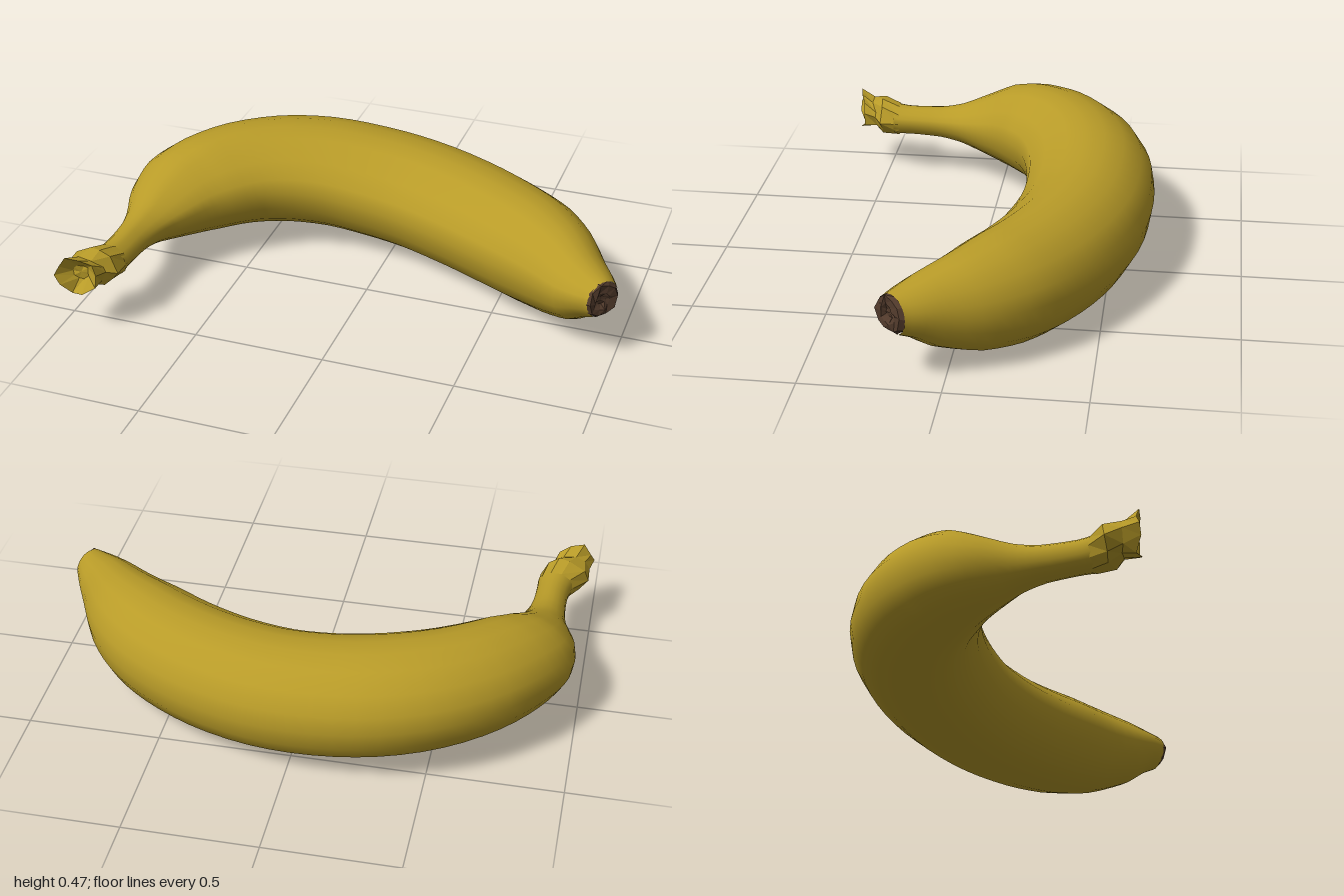
import * as THREE from 'three';

// Seeded random for the ragged ends
function seeded(s) {
  return () => {
    s = (s * 16807) % 2147483647;
    return s / 2147483647 - 0.5;
  };
}

// Cross-section: u runs from the outer (-1) to the inner (+1) side of the bend, v is up
const SECTION = [
  [1, 0.08], [0.95, 0.36], [0.72, 0.63], [0.38, 0.9], [0.1, 0.99], [-0.2, 0.98], [-0.5, 0.87],
  [-0.78, 0.63], [-0.95, 0.32], [-1, 0], [-0.95, -0.34], [-0.8, -0.64], [-0.55, -0.87],
  [-0.2, -0.98], [0.1, -1], [0.45, -0.87], [0.73, -0.63], [0.95, -0.28],
];
const oval = (n) => Array.from({ length: n }, (_, j) => {
  const a = (j / n) * Math.PI * 2;
  return [Math.cos(a), Math.sin(a)];
});

// Station: outer x, outer z, inner x, inner z, bottom y, top y
function ring([ox, oz, ix, iz, yb, yt], section, jitter = () => 0) {
  return section.map(([u, v]) => new THREE.Vector3(
    (ox + ix) / 2 + (u * (ix - ox)) / 2 + jitter(),
    (yb + yt) / 2 + (v * (yt - yb)) / 2 + jitter(),
    (oz + iz) / 2 + (u * (iz - oz)) / 2 + jitter(),
  ));
}

// Skin over closed rings, with optional end caps
function loft(rings, { capStart = false, capEnd = false, faceted = false } = {}) {
  const n = rings[0].length;
  const points = rings.flat();
  const index = [];
  for (let i = 0; i < rings.length - 1; i++) {
    for (let j = 0; j < n; j++) {
      const a = i * n + j, b = i * n + ((j + 1) % n);
      index.push(a, a + n, b, b, a + n, b + n);
    }
  }
  const cap = (i, flip) => {
    const c = points.length;
    points.push(rings[i].reduce((s, p) => s.add(p), new THREE.Vector3()).divideScalar(n));
    for (let j = 0; j < n; j++) {
      const a = i * n + j, b = i * n + ((j + 1) % n);
      if (flip) index.push(c, b, a);
      else index.push(c, a, b);
    }
  };
  if (capStart) cap(0, false);
  if (capEnd) cap(rings.length - 1, true);
  let geo = new THREE.BufferGeometry().setFromPoints(points);
  geo.setIndex(index);
  if (faceted) geo = geo.toNonIndexed();
  geo.computeVertexNormals();
  return geo;
}

// Smoothly resample the stations along the fruit
function resample(stations, count) {
  const curve = (a, b, c) => new THREE.CatmullRomCurve3(
    stations.map((s) => new THREE.Vector3(s[a], s[b], c === undefined ? 0 : s[c])));
  const outer = curve(0, 1), inner = curve(2, 3), height = curve(4, 5);
  return Array.from({ length: count + 1 }, (_, k) => {
    const t = k / count;
    const o = outer.getPoint(t), i = inner.getPoint(t), h = height.getPoint(t);
    return [o.x, o.y, i.x, i.y, h.x, h.y];
  });
}

export function createModel() {
  const model = new THREE.Group();
  model.name = 'banana';
  const peel = new THREE.MeshStandardMaterial({ color: 0xb89b28 });
  peel.name = 'peel yellow';
  const brown = new THREE.MeshStandardMaterial({ color: 0x513a2b });
  brown.name = 'tip brown';
  const add = (name, geo, mat) => {
    const mesh = new THREE.Mesh(geo, mat);
    mesh.name = name;
    model.add(mesh);
  };

  // Curved fruit running from the stem to the blossom tip
  const stations = [
    [-0.925, 0.47, -0.785, 0.47, 0.165, 0.295],
    [-0.91, 0.4, -0.785, 0.4, 0.17, 0.29],
    [-0.91, 0.26, -0.775, 0.28, 0.165, 0.295],
    [-0.925, 0.17, -0.745, 0.19, 0.15, 0.315],
    [-0.97, 0.03, -0.69, 0.11, 0.115, 0.365],
    [-0.97, -0.09, -0.62, 0.03, 0.09, 0.42],
    [-0.91, -0.23, -0.54, -0.03, 0.08, 0.455],
    [-0.78, -0.4, -0.45, -0.09, 0.075, 0.473],
    [-0.58, -0.55, -0.35, -0.13, 0.065, 0.478],
    [-0.35, -0.635, -0.23, -0.155, 0.05, 0.472],
    [-0.1, -0.655, -0.11, -0.16, 0.03, 0.458],
    [0.15, -0.625, 0.03, -0.15, 0.014, 0.444],
    [0.4, -0.54, 0.2, -0.105, 0.002, 0.432],
    [0.6, -0.43, 0.36, -0.04, 0.002, 0.424],
    [0.74, -0.32, 0.5, 0.03, 0.012, 0.42],
    [0.85, -0.18, 0.64, 0.1, 0.04, 0.4],
    [0.925, -0.03, 0.77, 0.18, 0.1, 0.368],
    [0.965, 0.05, 0.85, 0.215, 0.16, 0.348],
    [0.995, 0.12, 0.905, 0.23, 0.19, 0.337],
  ];
  add('fruit', loft(resample(stations, 54).map((s) => ring(s, SECTION))), peel);

  // Ragged crown where the stem was torn from the bunch
  const crown = [
    [-0.94, 0.585, -0.88, 0.575, 0.21, 0.27, 0.01],
    [-0.988, 0.635, -0.84, 0.605, 0.17, 0.32, 0.022],
    [-0.965, 0.57, -0.83, 0.56, 0.175, 0.295, 0.022],
    [-0.968, 0.515, -0.79, 0.525, 0.152, 0.322, 0.022],
    [-0.922, 0.45, -0.785, 0.45, 0.164, 0.296, 0],
  ];
  const rnd = seeded(4711);
  add('stemCrown', loft(
    crown.map((s) => ring(s, oval(10), () => rnd() * s[6])),
    { capStart: true, faceted: true }), peel);

  // Dried blossom end: a dark uneven rim around a small hollow
  const blossom = [
    [0.993, 0.115, 0.9, 0.228, 0.19, 0.337, 0],
    [0.996, 0.135, 0.918, 0.232, 0.2, 0.33, 0.012],
    [0.975, 0.16, 0.928, 0.218, 0.225, 0.3, 0.012],
    [0.955, 0.165, 0.93, 0.195, 0.245, 0.28, 0.006],
  ];
  add('blossomTip', loft(
    blossom.map((s) => ring(s, oval(10), () => rnd() * s[6])),
    { capEnd: true, faceted: true }), brown);

  return model;
}
